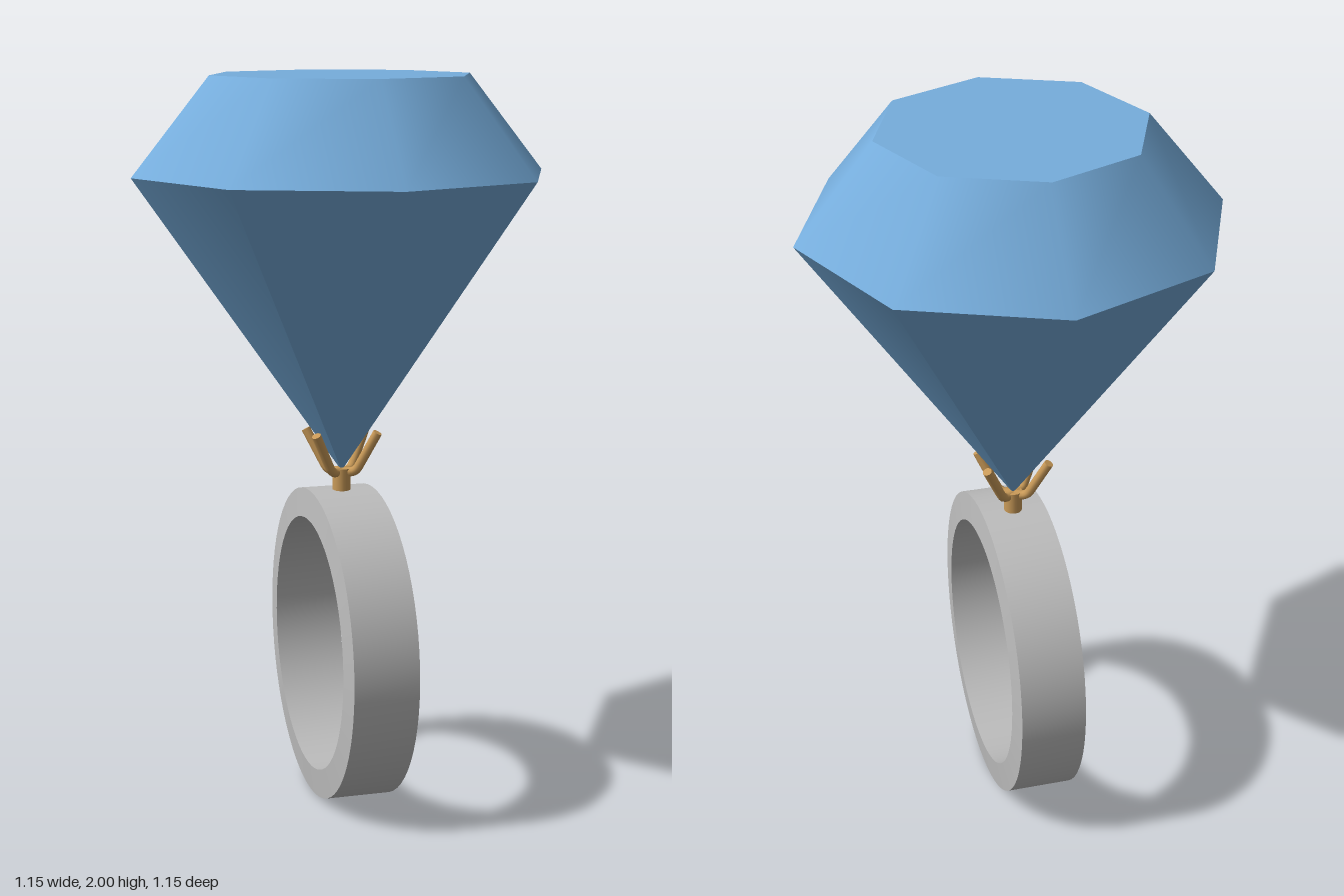
import * as THREE from 'three';
import { toCreasedNormals } from 'three/addons/utils/BufferGeometryUtils.js';

const material = (name, color) => Object.assign(new THREE.MeshStandardMaterial({ color }), { name });

export function createModel() {
  const blue = material('gem blue', 0x76addc);
  const silver = material('band silver', 0xbdbdbd);
  const gold = material('setting gold', 0xc99a58);
  const model = new THREE.Group();
  model.name = 'gemRing';

  const add = (name, geometry, mat, parent = model) => {
    const mesh = new THREE.Mesh(geometry, mat);
    mesh.name = name;
    parent.add(mesh);
    return mesh;
  };

  // Band: slightly wider at its inner edge, turned about the x axis
  const profile = [[0.434, -0.09], [0.434, 0.09], [0.354, 0.097], [0.354, -0.097], [0.434, -0.09]]
    .map(([r, w]) => new THREE.Vector2(r, w));
  const bandGeometry = toCreasedNormals(new THREE.LatheGeometry(profile, 64), Math.PI / 4);
  bandGeometry.rotateZ(Math.PI / 2);
  add('band', bandGeometry, silver).position.y = 0.434;

  // Gem: eight-sided crown with flat table, and pointed pavilion
  const gem = new THREE.Group();
  gem.name = 'gem';
  gem.rotation.y = -Math.PI / 2;
  model.add(gem);
  const girdleY = 1.737, tipY = 0.92, girdleR = 0.573;
  const crown = new THREE.CylinderGeometry(0.361, girdleR, 2 - girdleY, 8);
  add('crown', crown, blue, gem).position.y = (2 + girdleY) / 2;
  const pavilion = new THREE.CylinderGeometry(girdleR, 0, girdleY - tipY, 8, 1, true);
  add('pavilion', pavilion, blue, gem).position.y = (girdleY + tipY) / 2;

  // Setting: short stem carrying four bent prongs
  const setting = new THREE.Group();
  setting.name = 'setting';
  model.add(setting);
  add('stem', new THREE.CylinderGeometry(0.025, 0.025, 0.07, 20), gold, setting).position.y = 0.893;
  for (const sx of [-1, 1]) {
    for (const sz of [-1, 1]) {
      const at = (x, y, z) => new THREE.Vector3(sx * x, y, sz * z);
      const path = new THREE.CurvePath();
      path.add(new THREE.LineCurve3(at(0, 0.918, 0), at(0.02, 0.918, 0.013)));
      path.add(new THREE.QuadraticBezierCurve3(at(0.02, 0.918, 0.013), at(0.034, 0.919, 0.022), at(0.042, 0.937, 0.027)));
      path.add(new THREE.LineCurve3(at(0.042, 0.937, 0.027), at(0.087, 1.033, 0.055)));
      const prong = new THREE.Group();
      prong.name = 'prong';
      setting.add(prong);
      add('prongWire', new THREE.TubeGeometry(path, 20, 0.013, 10), gold, prong);
      // Flat end of the wire
      const cap = add('prongTip', new THREE.CircleGeometry(0.013, 10), gold, prong);
      cap.position.copy(path.getPoint(1));
      cap.quaternion.setFromUnitVectors(new THREE.Vector3(0, 0, 1), path.getTangent(1));
    }
  }
  return model;
}
